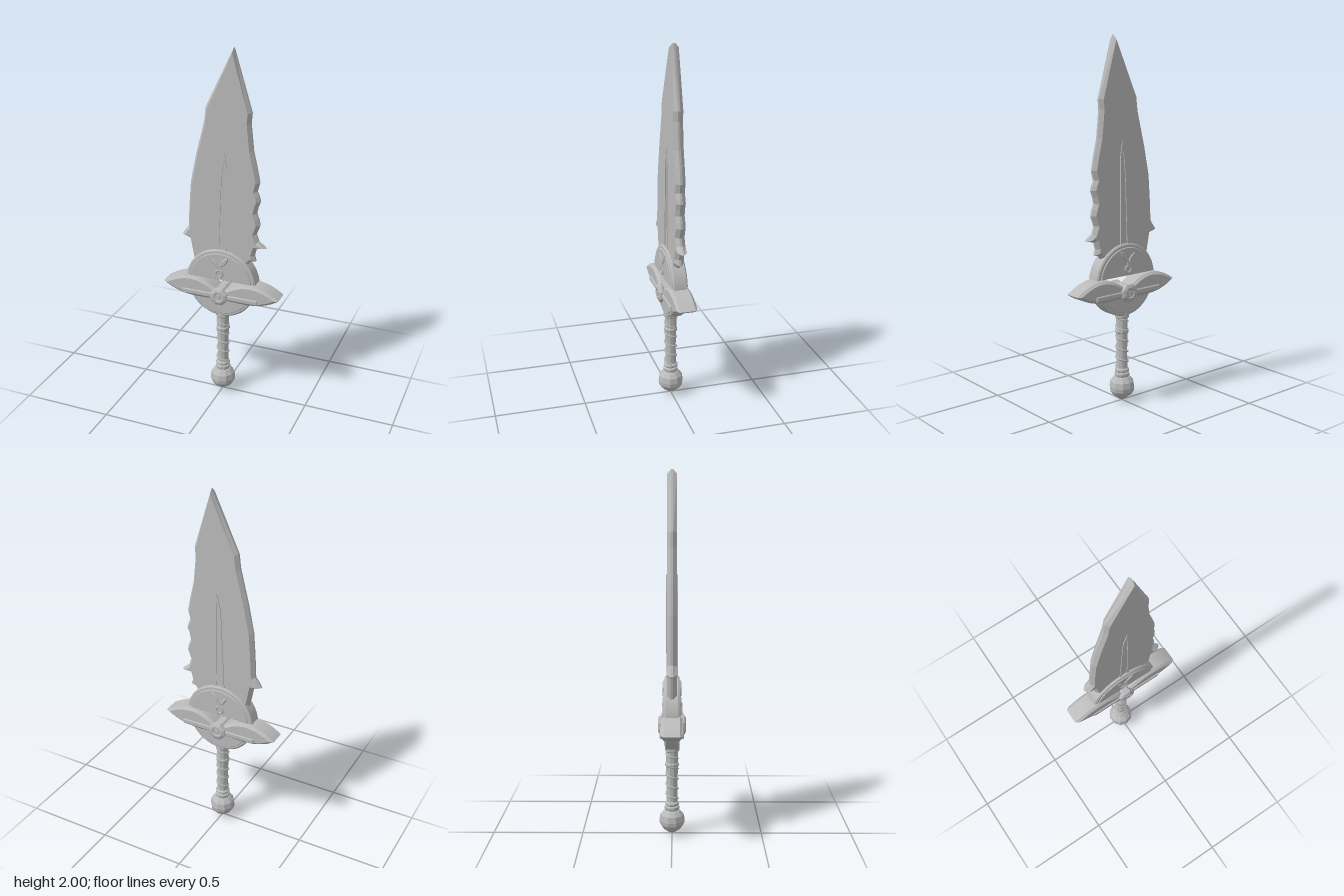
import * as THREE from 'three';

const steel = new THREE.MeshStandardMaterial({ color: 0xbababa });
steel.name = 'steel grey';

const toShape = (pts) => new THREE.Shape(pts.map(([x, y]) => new THREE.Vector2(x, y)));

// Plate centred on z = 0 whose chamfer is cut inwards from the outline
function plate(shape, half, bevel, inset, curveSegments = 24) {
  const depth = 2 * (half - bevel);
  const g = new THREE.ExtrudeGeometry(shape, {
    depth, curveSegments, bevelEnabled: bevel > 0, bevelThickness: bevel,
    bevelSize: inset, bevelOffset: -inset, bevelSegments: 1,
  });
  return g.translate(0, 0, -depth / 2);
}

// Faceted turned part
function turned(profile, sides) {
  const pts = profile.map(([r, y]) => new THREE.Vector2(r, y));
  const g = new THREE.LatheGeometry(pts, sides).toNonIndexed();
  g.computeVertexNormals();
  return g;
}

function leafShape(x0, y0, x1, y1, bulge) {
  const mx = (x0 + x1) / 2, my = (y0 + y1) / 2, dx = (x1 - x0) * bulge, dy = (y1 - y0) * bulge;
  const s = new THREE.Shape();
  s.moveTo(x0, y0);
  s.quadraticCurveTo(mx + dy, my - dx, x1, y1);
  s.quadraticCurveTo(mx - dy, my + dx, x0, y0);
  return s;
}

// Part of a disc centred on (0, 0.695), cut by a level line
function discPart(radius, cutY, upper) {
  const a = Math.asin((cutY - 0.695) / radius);
  const s = new THREE.Shape();
  if (upper) s.absarc(0, 0.695, radius, a, Math.PI - a, false);
  else s.absarc(0, 0.695, radius, Math.PI - a, 2 * Math.PI + a, false);
  s.closePath();
  return s;
}

export function createModel() {
  const model = new THREE.Group();
  const add = (name, geometry) => {
    const m = new THREE.Mesh(geometry, steel);
    m.name = name;
    model.add(m);
    return m;
  };

  // Blade: notched right edge, swept left edge, sharpened all round
  add('blade', plate(toShape([
    [0.06, 2], [-0.093, 1.685], [-0.103, 1.605], [-0.15, 1.42], [-0.183, 1.26], [-0.193, 1.13],
    [-0.2, 1.0], [-0.238, 0.945], [-0.19, 0.93], [-0.178, 0.865], [-0.165, 0.8], [-0.12, 0.74],
    [0.12, 0.74], [0.14, 0.81], [0.165, 0.845], [0.193, 0.852], [0.184, 0.885], [0.195, 0.925],
    [0.25, 0.935], [0.207, 0.97], [0.193, 1.01], [0.213, 1.065], [0.205, 1.1], [0.193, 1.13],
    [0.2, 1.165], [0.213, 1.2], [0.205, 1.23], [0.194, 1.255], [0.207, 1.305], [0.19, 1.39],
    [0.17, 1.475], [0.155, 1.62], [0.16, 1.675],
  ]), 0.026, 0.02, 0.016));

  // Raised frame down the middle of the blade
  const frame = toShape([[-0.026, 0.85], [0.034, 0.85], [0.034, 1.37], [0.02, 1.45], [-0.003, 1.36]]);
  frame.holes.push(new THREE.Path([
    [-0.014, 0.86], [-0.001, 1.24], [0.007, 1.355], [0.019, 1.405], [0.024, 1.36], [0.023, 0.86],
  ].map(([x, y]) => new THREE.Vector2(x, y))));
  add('bladeFrame', plate(frame, 0.031, 0, 0));

  // Round guard, in an upper and a lower part with a raised inner face
  add('upperGuard', plate(discPart(0.203, 0.72, true), 0.04, 0.006, 0.008, 48));
  add('upperGuardFace', plate(discPart(0.182, 0.722, true), 0.046, 0.003, 0.003, 48));
  add('lowerGuard', plate(discPart(0.2, 0.63, false), 0.037, 0.006, 0.008, 48));
  add('lowerGuardFace', plate(discPart(0.182, 0.63, false), 0.041, 0.003, 0.003, 48));

  // Sprout relief on both faces of the upper guard
  add('leftLeaf', plate(leafShape(-0.006, 0.79, -0.05, 0.845, 0.3), 0.052, 0.004, 0.004, 8));
  add('rightLeaf', plate(leafShape(0, 0.8, 0.048, 0.862, 0.35), 0.052, 0.004, 0.004, 8));
  add('sproutStem', plate(toShape([[-0.01, 0.77], [0, 0.77], [0.004, 0.812], [-0.008, 0.812]]), 0.05, 0, 0));
  for (const z of [-0.046, 0.046]) {
    const ring = add('sproutBulb', new THREE.TorusGeometry(0.02, 0.006, 6, 16));
    ring.position.set(-0.005, 0.758, z);
  }

  // Cross guard: two leaf-like wings with a raised bar along each
  for (const s of [-1, 1]) {
    const wing = new THREE.Shape();
    wing.moveTo(0, 0.6);
    wing.lineTo(s * 0.12, 0.595);
    wing.quadraticCurveTo(s * 0.25, 0.59, s * 0.34, 0.655);
    wing.quadraticCurveTo(s * 0.17, 0.775, s * 0.02, 0.655);
    wing.lineTo(0, 0.655);
    add(s > 0 ? 'leftWing' : 'rightWing', plate(wing, 0.057, 0.014, 0.014, 14));
    const bar = add('wingBar', plate(toShape([
      [0.03, 0.611], [0.222, 0.611], [0.222, 0.64], [0.03, 0.64],
    ].map(([x, y]) => [s * x, y])), 0.064, 0.004, 0.005));
    bar.userData.side = s;
  }

  // Faceted boss through the crossing, with a small stud on each face
  const boss = add('boss', turned([
    [0, -0.072], [0.022, -0.072], [0.026, -0.077], [0.036, -0.077], [0.052, -0.069], [0.054, -0.056],
    [0.046, -0.045], [0.046, 0.045], [0.054, 0.056], [0.052, 0.069], [0.036, 0.077], [0.026, 0.077],
    [0.022, 0.072], [0, 0.072],
  ], 8));
  boss.rotation.set(Math.PI / 2, Math.PI / 8, 0);
  boss.position.y = 0.627;
  const stud = add('bossStud', new THREE.BoxGeometry(0.022, 0.022, 0.154));
  stud.position.y = 0.627;

  // Grip with end collars and a spiral wrap
  add('grip', turned([
    [0.034, 0.13], [0.042, 0.148], [0.042, 0.16], [0.034, 0.166], [0.04, 0.172], [0.04, 0.182],
    [0.031, 0.19], [0.03, 0.3], [0.033, 0.39], [0.038, 0.396], [0.038, 0.408], [0.033, 0.414],
    [0.033, 0.475], [0.04, 0.482], [0.04, 0.52],
  ], 10));
  const helix = [];
  for (let i = 0; i <= 60; i++) {
    const a = (i / 60) * Math.PI * 2 * 5;
    helix.push(new THREE.Vector3(Math.cos(a) * 0.032, 0.19 + 0.29 * (i / 60), Math.sin(a) * 0.032));
  }
  add('gripWrap', new THREE.TubeGeometry(new THREE.CatmullRomCurve3(helix), 120, 0.006, 6));

  // Faceted pommel
  add('pommel', turned([
    [0, 0], [0.022, 0.012], [0.052, 0.034], [0.068, 0.058], [0.071, 0.08], [0.066, 0.112],
    [0.046, 0.136], [0.03, 0.145], [0, 0.145],
  ], 10));

  return model;
}
